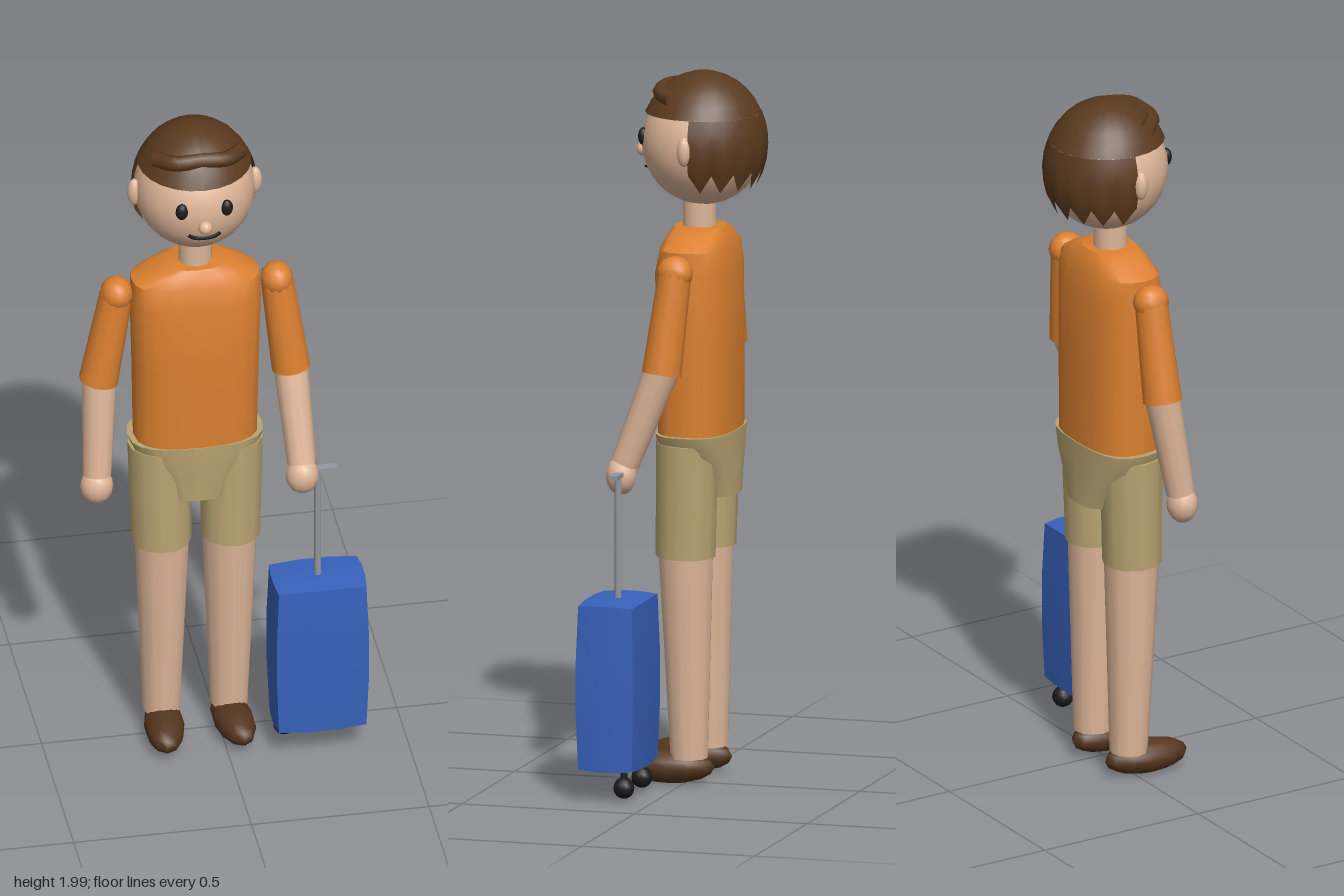
import * as THREE from 'three';
import { toCreasedNormals } from 'three/addons/utils/BufferGeometryUtils.js';

const paint = (name, color) => {
  const m = new THREE.MeshStandardMaterial({ color });
  m.name = name;
  return m;
};
const CX = -0.065; // the person's centre line
const V = (x, y, z) => new THREE.Vector3(x, y, z);

// Closed surface through superellipse rings: [y, halfWidth, zBack, zFront]
function loft(rings, power, sides = 20) {
  const pos = [], idx = [];
  const first = rings[0], last = rings[rings.length - 1];
  const point = (r) => { const z = (r[2] + r[3]) / 2; return [r[0], 0, z, z]; };
  const rows = [point(first), ...rings, point(last)];
  const bend = (v) => Math.sign(v) * Math.pow(Math.abs(v), 2 / power);
  rows.forEach(([y, w, zb, zf], i) => {
    for (let j = 0; j < sides; j++) {
      const a = (j / sides) * Math.PI * 2;
      pos.push(w * bend(Math.cos(a)), y, (zb + zf) / 2 + ((zf - zb) / 2) * bend(Math.sin(a)));
      if (i === rows.length - 1) continue;
      const k = (j + 1) % sides, b = i * sides, t = b + sides;
      idx.push(b + j, t + j, b + k, t + j, t + k, b + k);
    }
  });
  const g = new THREE.BufferGeometry();
  g.setAttribute('position', new THREE.Float32BufferAttribute(pos, 3));
  g.setIndex(idx);
  return toCreasedNormals(g, 0.7);
}

// Hair shell: sweeps around the head (angle 0 = front) down to a hairline rule
function hairShell(a0, a1, cols, rows, top, hairline) {
  const pos = [], idx = [];
  for (let i = 0; i <= rows; i++) {
    for (let j = 0; j <= cols; j++) {
      const a = a0 + ((a1 - a0) * j) / cols;
      const t = top + ((hairline(j) - top) * i) / rows;
      pos.push(0.176 * Math.sin(t) * Math.sin(a), 0.202 * Math.cos(t), 0.18 * Math.sin(t) * Math.cos(a));
      if (i === rows || j === cols) continue;
      const p = i * (cols + 1) + j, q = p + cols + 1;
      idx.push(p, q, p + 1, q, q + 1, p + 1);
    }
  }
  const g = new THREE.BufferGeometry();
  g.setAttribute('position', new THREE.Float32BufferAttribute(pos, 3));
  g.setIndex(idx);
  g.computeVertexNormals();
  return g;
}

export function createModel() {
  const model = new THREE.Group();
  const skin = paint('skin', 0xdfb699);
  const orange = paint('orange shirt', 0xdb8030);
  const khaki = paint('khaki', 0xb9a472);
  const brown = paint('brown hair', 0x5a3a1e);
  const shoeBrown = paint('shoe brown', 0x55361f);
  const blue = paint('suitcase blue', 0x3862bc);
  const black = paint('black', 0x1b1b1d);
  const grey = paint('grey metal', 0x9497a0);
  brown.side = THREE.DoubleSide;

  const add = (name, geo, mat, x = 0, y = 0, z = 0) => {
    const m = new THREE.Mesh(geo, mat);
    m.name = name;
    m.position.set(x, y, z);
    model.add(m);
    return m;
  };
  const ball = (name, mat, p, rx, ry = rx, rz = rx, seg = 12) => {
    const m = add(name, new THREE.SphereGeometry(1, seg, Math.max(6, seg * 0.7 | 0)), mat, p.x, p.y, p.z);
    m.scale.set(rx, ry, rz);
    return m;
  };
  // Tapered round limb from a to b
  const limb = (name, mat, a, b, ra, rb) => {
    const d = b.clone().sub(a);
    const mid = a.clone().add(b).multiplyScalar(0.5);
    const m = add(name, new THREE.CylinderGeometry(rb, ra, d.length(), 12), mat, mid.x, mid.y, mid.z);
    m.quaternion.setFromUnitVectors(V(0, 1, 0), d.normalize());
    return m;
  };

  // Head and face
  ball('head', skin, V(CX, 1.798, -0.028), 0.168, 0.172, 0.172, 24);
  ball('nose', skin, V(CX, 1.77, 0.146), 0.02);
  for (const s of [-1, 1]) {
    ball('ear', skin, V(CX + s * 0.17, 1.8, -0.022), 0.02, 0.042, 0.02);
    ball('eye', black, V(CX + s * 0.063, 1.818, 0.128), 0.018, 0.025, 0.014);
  }
  const smile = new THREE.CatmullRomCurve3([V(-0.045, 1.738, 0.126), V(-0.025, 1.728, 0.129),
    V(0.025, 1.728, 0.129), V(0.045, 1.738, 0.126)]);
  add('mouth', new THREE.TubeGeometry(smile, 12, 0.006, 6), black, CX);
  limb('neck', skin, V(CX, 1.53, -0.016), V(CX, 1.66, -0.016), 0.047, 0.047);

  // Hair: cap, jagged back and front tuft
  add('hairCap', hairShell(0, Math.PI * 2, 24, 6, 0, () => 1.125), brown, CX, 1.798, -0.028);
  add('hairBack', hairShell(1.6, Math.PI * 2 - 1.6, 16, 5, 1.125, (j) => (j % 2 ? 2.2 : 1.9)),
    brown, CX, 1.798, -0.028);
  const tuft = new THREE.CatmullRomCurve3([V(-0.12, 1.935, 0.025), V(-0.07, 1.945, 0.076),
    V(0, 1.95, 0.08), V(0.07, 1.945, 0.076), V(0.12, 1.935, 0.025)]);
  add('hairTuft', new THREE.TubeGeometry(tuft, 14, 0.022, 8), brown, CX);

  // Shirt
  add('shirt', loft([[0.98, 0.173, -0.125, 0.083], [1.25, 0.178, -0.125, 0.09], [1.45, 0.184, -0.122, 0.09],
    [1.515, 0.18, -0.11, 0.075], [1.545, 0.13, -0.1, 0.062], [1.565, 0.08, -0.088, 0.05]], 2.7), orange, CX);

  // Arms: the left one reaches forward to the suitcase
  const arms = [
    { side: 'right', shoulder: V(-0.285, 1.47, -0.02), elbow: V(-0.337, 1.19, -0.015), wrist: V(-0.35, 0.91, 0.035), hand: V(-0.352, 0.875, 0.04) },
    { side: 'left', shoulder: V(0.165, 1.47, -0.015), elbow: V(0.2, 1.19, 0.013), wrist: V(0.211, 0.935, 0.115), hand: V(0.211, 0.9, 0.127) },
  ];
  for (const { side, shoulder, elbow, wrist, hand } of arms) {
    ball(side + 'Shoulder', orange, shoulder, 0.046, 0.048, 0.052);
    limb(side + 'Sleeve', orange, shoulder, elbow, 0.046, 0.055);
    limb(side + 'Forearm', skin, elbow.clone().lerp(shoulder, 0.05), wrist, 0.049, 0.04);
    ball(side + 'Hand', skin, hand, 0.047, 0.054, 0.043);
  }

  // Shorts: hips with a narrow low seat, then two legs
  add('hips', loft([[0.815, 0.095, -0.13, 0.078], [0.88, 0.125, -0.13, 0.08], [0.94, 0.172, -0.128, 0.084],
    [0.995, 0.19, -0.128, 0.086]], 2.8), khaki, CX);
  for (const s of [-1, 1]) {
    const x = CX + s * 0.095;
    limb('shortsLeg', khaki, V(x + s * 0.008, 0.97, -0.012), V(x + s * 0.002, 0.65, -0.005), 0.087, 0.084);
    limb('leg', skin, V(x, 0.68, -0.005), V(x, 0.08, -0.015), 0.078, 0.053);
    const shoe = ball('shoe', shoeBrown, V(x + s * 0.002, 0.054, 0.04), 0.056, 0.048, 0.125);
    shoe.rotation.y = s * 0.1;
  }

  // Suitcase with gently bulging faces
  const box = new THREE.BoxGeometry(2, 2, 2, 3, 3, 3);
  const size = [0.135, 0.2375, 0.0875], bulge = [0.006, 0.004, 0.005];
  const p = box.attributes.position;
  for (let i = 0; i < p.count; i++) {
    const c = [p.getX(i), p.getY(i), p.getZ(i)];
    const edges = c.filter((v) => Math.abs(v) > 0.9).length - 1;
    p.setXYZ(i, ...c.map((v, k) => v * (size[k] - bulge[k] * edges)));
  }
  add('suitcase', toCreasedNormals(box, 0.5), blue, 0.255, 0.327, 0.123);
  for (const x of [0.168, 0.338]) ball('wheel', black, V(x, 0.045, 0.08), 0.03);
  for (const x of [0.168, 0.338]) limb('wheelMount', black, V(x, 0.05, 0.08), V(x, 0.1, 0.08), 0.01, 0.01);
  limb('handlePole', grey, V(0.255, 0.55, 0.122), V(0.255, 0.91, 0.122), 0.01, 0.01);
  add('handleGrip', new THREE.BoxGeometry(0.11, 0.012, 0.024), grey, 0.255, 0.91, 0.12);

  return model;
}
